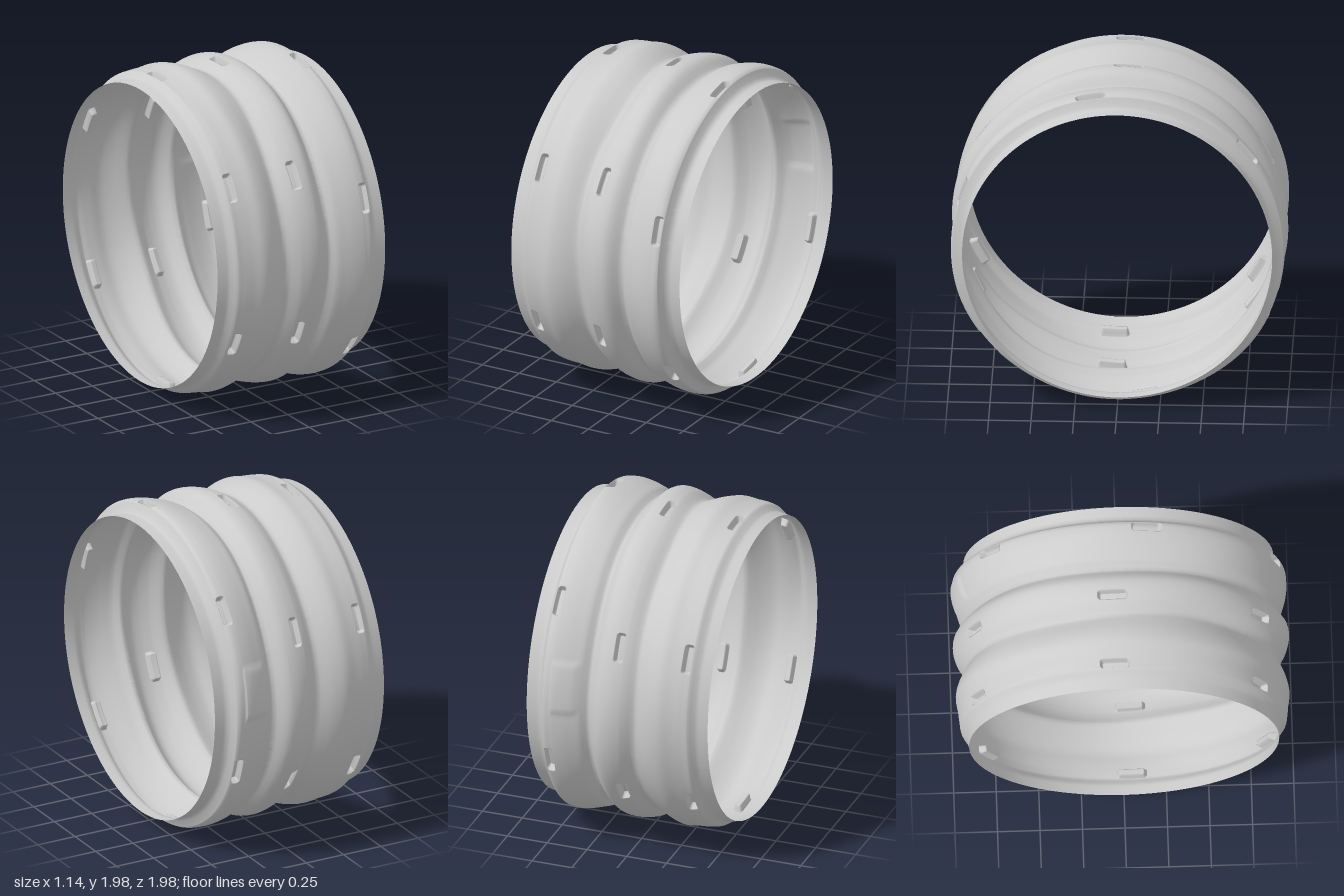
import * as THREE from 'three';

// Outer profile along the axis: [x, radius]
const PROFILE = [
  [-0.57, 0.912], [-0.53, 0.919], [-0.49, 0.928], [-0.465, 0.955], [-0.42, 0.964], [-0.35, 0.972],
  [-0.28, 0.983], [-0.21, 0.966], [-0.15, 0.937], [-0.11, 0.92], [-0.07, 0.945], [-0.03, 0.967],
  [0.04, 0.983], [0.1, 0.976], [0.14, 0.945], [0.178, 0.908], [0.22, 0.943], [0.27, 0.962],
  [0.33, 0.98], [0.4, 0.989], [0.45, 0.975], [0.475, 0.922], [0.5, 0.914], [0.567, 0.912],
];

// Pocket rows: axial position and first angle in degrees; six pockets per row
const ROWS = [{ x: -0.425, a: 33 }, { x: 0, a: 33 }, { x: 0.42, a: 20.5 }];
const HALF_W = 0.025, HALF_L = 0.086, CORNER = 0.016, DEPTH = 0.042;
const rad = THREE.MathUtils.degToRad;
const smooth = THREE.MathUtils.smoothstep;

// Monotone-friendly cubic interpolation of the profile
function profileRadius(x) {
  const P = PROFILE, n = P.length;
  let i = 0;
  while (i < n - 2 && x > P[i + 1][0]) i++;
  const slope = (k) => {
    const p = P[Math.max(k - 1, 0)], q = P[Math.min(k + 1, n - 1)];
    return (q[1] - p[1]) / (q[0] - p[0]);
  };
  const h = P[i + 1][0] - P[i][0];
  const t = THREE.MathUtils.clamp((x - P[i][0]) / h, 0, 1), t2 = t * t, t3 = t2 * t;
  return (2 * t3 - 3 * t2 + 1) * P[i][1] + (t3 - 2 * t2 + t) * h * slope(i)
    + (3 * t2 - 2 * t3) * P[i + 1][1] + (t3 - t2) * h * slope(i + 1);
}

// Inset amount of the nearest rounded pocket
function pocket(x, deg) {
  let depth = 0;
  for (const row of ROWS) {
    const d = ((deg - row.a + 30) % 60 + 60) % 60 - 30;
    const qx = Math.abs(x - row.x) - HALF_W + CORNER;
    const qy = Math.abs(rad(d) * 0.965) - HALF_L + CORNER;
    const dist = Math.hypot(Math.max(qx, 0), Math.max(qy, 0)) + Math.min(Math.max(qx, qy), 0) - CORNER;
    depth = Math.max(depth, DEPTH * (1 - smooth(dist, -0.006, 0.001)));
  }
  return depth;
}

// Raised rectangular pad on the back of the last ridge
function pad(x, deg) {
  const across = smooth(x, 0.235, 0.26) * (1 - smooth(x, 0.385, 0.4));
  const along = smooth(deg, 161, 162.5) * (1 - smooth(deg, 179, 180.5));
  return 0.01 * across * along;
}

function radiusAt(x, deg) {
  const a = rad(deg);
  // Waves fade out towards the plain rims
  const body = smooth(x, -0.5, -0.4) * (1 - smooth(x, 0.4, 0.47));
  const mid = Math.exp(-(((x + 0.04) / 0.15) ** 2));
  const shift = mid * (0.012 * Math.sin(3 * a + 0.6) + 0.01 * Math.sin(5 * a - 1.1));
  const wave = 0.005 * Math.sin(6 * a + 9 * x) + 0.004 * Math.sin(4 * a - 7 * x + 1);
  return Math.min(profileRadius(x + shift) + body * wave - pocket(x, deg) + pad(x, deg), 0.999);
}

// Sorted grid lines without near duplicates
const lines = (values) => values.sort((p, q) => p - q)
  .filter((v, i, all) => i === 0 || v - all[i - 1] > 1e-4);

function wavySleeve() {
  // Finer grid lines around the pockets
  const xs = [], step = [];
  for (let i = 0; i <= 58; i++) xs.push(-0.57 + 1.137 * i / 58);
  for (const row of ROWS) for (let k = -7; k <= 7; k++) xs.push(row.x + k * 0.0045);
  for (let i = 0; i < 50; i++) step.push(i * 1.2);
  for (const a of [33, 20.5]) {
    for (const end of [-4.9, 4.9]) for (let k = -3; k <= 3; k++) step.push(a + end + k * 0.28);
  }
  const X = lines(xs), S = lines(step), A = [];
  for (let s = 0; s < 6; s++) for (const v of S) A.push(s * 60 + v);

  const pos = [], index = [], n = X.length;
  for (const deg of A) {
    for (const x of X) {
      const r = radiusAt(x, deg);
      pos.push(x, 1 + r * Math.sin(rad(deg)), r * Math.cos(rad(deg)));
    }
  }
  for (let j = 0; j < A.length; j++) {
    const k = (j + 1) % A.length;
    for (let i = 0; i < n - 1; i++) {
      const a = j * n + i, b = k * n + i;
      index.push(a, a + 1, b + 1, a, b + 1, b);
    }
  }
  const geo = new THREE.BufferGeometry();
  geo.setAttribute('position', new THREE.Float32BufferAttribute(pos, 3));
  geo.setIndex(index);
  geo.computeVertexNormals();
  return geo;
}

export function createModel() {
  const group = new THREE.Group();
  group.name = 'wavyRing';
  const material = new THREE.MeshStandardMaterial({ color: 0xcccccc, side: THREE.DoubleSide });
  const sleeve = new THREE.Mesh(wavySleeve(), material);
  sleeve.name = 'corrugatedSleeve';
  group.add(sleeve);
  return group;
}
